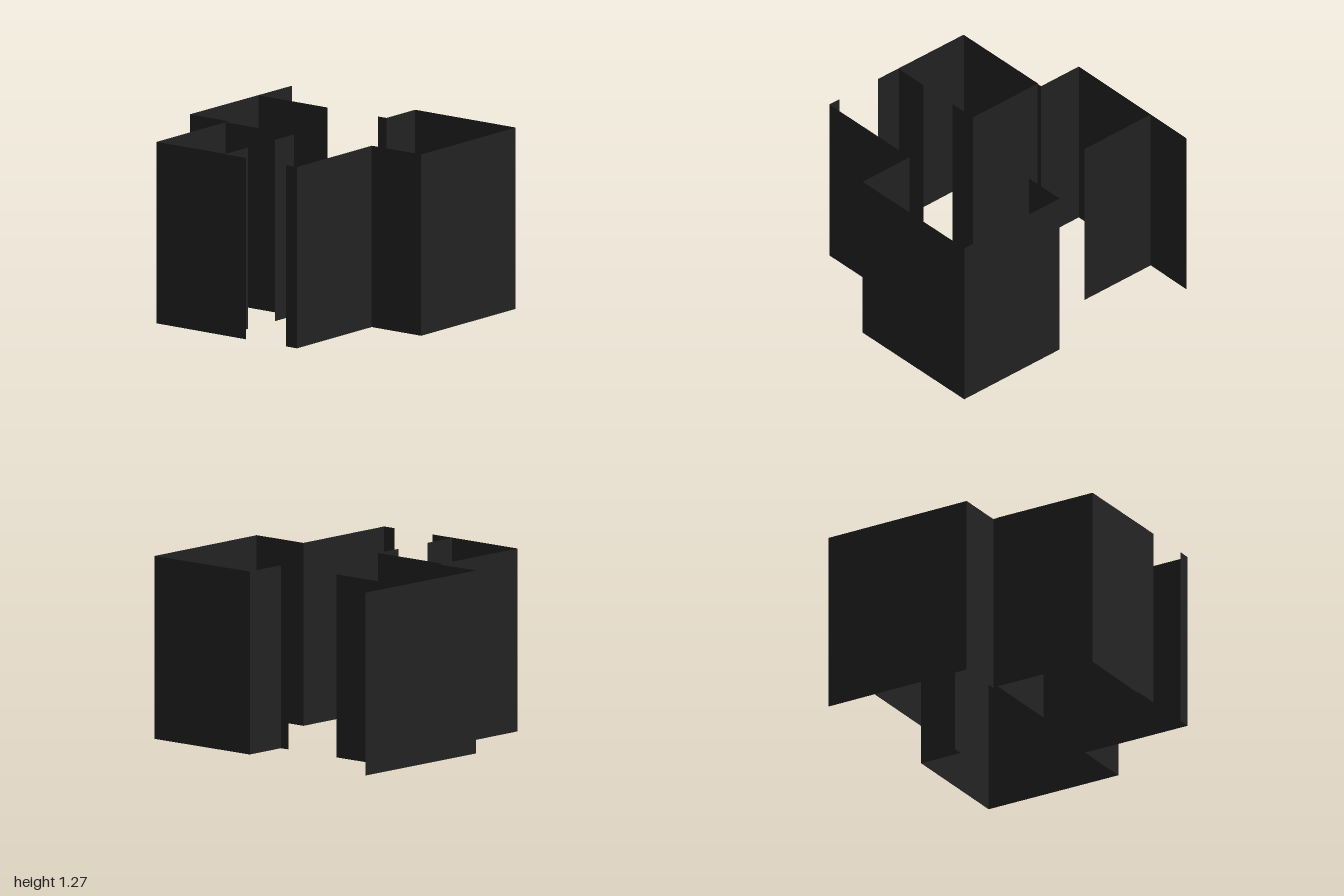
import * as THREE from 'three';
import { mergeGeometries } from 'three/addons/utils/BufferGeometryUtils.js';

const HEIGHT = 1.27;

// One upright sheet per pair of neighbouring [x, z] points in a floor-plan run
function wallRun(points) {
  const sheets = [];
  for (let i = 0; i + 1 < points.length; i++) {
    const [x0, z0] = points[i];
    const [x1, z1] = points[i + 1];
    const sheet = new THREE.PlaneGeometry(Math.hypot(x1 - x0, z1 - z0), HEIGHT);
    sheet.rotateY(-Math.atan2(z1 - z0, x1 - x0));
    sheet.translate((x0 + x1) / 2, HEIGHT / 2, (z0 + z1) / 2);
    sheets.push(sheet);
  }
  return mergeGeometries(sheets);
}

export function createModel() {
  const group = new THREE.Group();
  const wallBlack = new THREE.MeshStandardMaterial({ color: 0x222222, side: THREE.DoubleSide });
  wallBlack.name = 'wallBlack';

  // Floor plan, with gaps between runs for the doorways
  const runs = {
    // back wall stepping round to the left-hand outer wall
    backOuterWall: [[0.96, -0.99], [-0.157, -1], [-0.157, -0.655], [-0.195, -0.655]],
    sideOuterWall: [[-0.195, -0.66], [-0.957, -0.66], [-0.961, 0.12]],
    // small corner room
    cornerRoomInnerWall: [[-0.195, -0.655], [-0.195, -0.065], [-0.405, -0.065]],
    cornerRoomDoorWall: [[-0.955, -0.66], [-0.95, -0.065], [-0.70, -0.065]],
    // partition beside the back room
    backPartition: [[0.587, -0.99], [0.587, -0.39]],
    // front half of the plan
    frontOuterWall: [[0.587, 0.05], [0.587, 0.122], [0.904, 0.122], [0.904, 0.995],
      [-0.137, 0.995], [-0.137, 0.565], [-0.961, 0.565], [-0.961, 0.47]],
  };

  for (const [name, points] of Object.entries(runs)) {
    const wall = new THREE.Mesh(wallRun(points), wallBlack);
    wall.name = name;
    group.add(wall);
  }
  return group;
}
